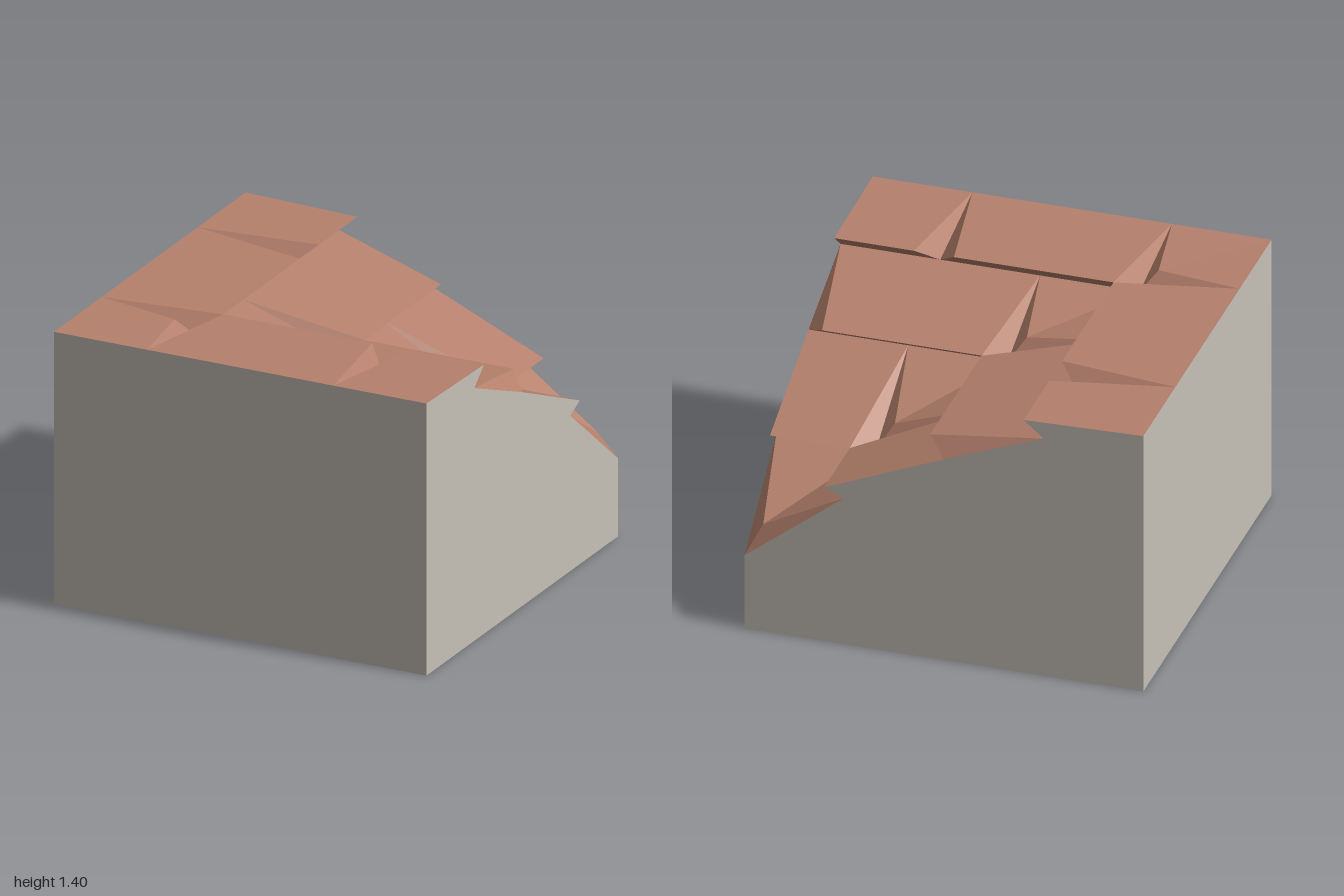
import * as THREE from 'three';

// Points are [x, u, y] with u = -z; the block is symmetric when x and u swap.
const TOP = 1.4;
const tiers = [
  { ua: -1.0, ya: 1.4, ye: 1.385, yn: 1.3 },
  { ua: -0.5, ya: 1.3, ye: 1.166, yn: 1.1 },
  { ua: 0.0, ya: 1.1, ye: 0.842, yn: 0.8 },
  { ua: 0.5, ya: 0.8, ye: 0.443, yn: 0.4 },
];

// Fan-triangulates convex faces, optionally with the copy mirrored over the valley
function buildGeometry(faces, mirrored = true) {
  const pos = [];
  const put = (p) => pos.push(p[0], p[2], -p[1]);
  const swap = (p) => [p[1], p[0], p[2]];
  for (const f of faces) {
    for (let i = 1; i < f.length - 1; i++) {
      [f[0], f[i], f[i + 1]].forEach(put);
      if (mirrored) [f[0], f[i + 1], f[i]].map(swap).forEach(put);
    }
  }
  const g = new THREE.BufferGeometry();
  g.setAttribute('position', new THREE.Float32BufferAttribute(pos, 3));
  g.computeVertexNormals();
  return g;
}

// One course of overlapping tiles with V-shaped gaps between them
function tierFaces({ ua, ya, ye, yn }) {
  const un = ua + 0.5, ue = ua + 0.6, faces = [];
  const start = un;
  const t = 0.5 / 0.7; // where the first gap's edge meets the valley
  const d = start - 0.1 * t;
  const valley = [d, d, ya + (ye - ya) * t];

  // tile at the valley
  faces.push([[ua, ua, ya], [start, ua, ya], valley]);

  for (let c = start; c <= 1.001; c += 1) {
    const apex = [c, ua, ya], foot = [c, un, yn];
    // left side of the gap
    faces.push([apex, foot, c === start ? valley : [c - 0.1, ue, ye]]);
    if (c > 0.99) break;
    // right side of the gap
    faces.push([apex, [c + 0.1, ue, ye], foot]);
    // tile up to the next gap or the block's edge
    const r = Math.min(c + 1, 1);
    const re = Math.min(c + 0.9, 1);
    faces.push([apex, [r, ua, ya], [re, ue, ye], [c + 0.1, ue, ye]]);
    // overhanging lip
    faces.push([[c + 0.1, ue, ye], [re, ue, ye], [r, un, yn], foot]);
  }
  return faces;
}

export function createModel() {
  const model = new THREE.Group();
  model.name = 'valleyRoofBlock';
  const clay = new THREE.MeshStandardMaterial({ color: 0xb5806c });
  clay.name = 'clayTile';
  const plaster = new THREE.MeshStandardMaterial({ color: 0xc6c0b7 });
  plaster.name = 'plaster';
  const add = (name, geometry, material) => {
    const m = new THREE.Mesh(geometry, material);
    m.name = name;
    model.add(m);
  };

  // roof courses
  tiers.forEach((t, i) => add(`tileCourse${i + 1}`, buildGeometry(tierFaces(t)), clay));

  // full-height walls
  add('tallWalls', buildGeometry([
    [[-1, -1, 0], [1, -1, 0], [1, -1, TOP], [-1, -1, TOP]],
  ]), plaster);

  // stepped gable walls following the cut ends of the courses
  const outline = [
    [-1, 0], [1, 0], [1, 0.4], [0.5, 0.8], [0.6, 0.842],
    [0, 1.1], [-0.5, 1.3], [-0.4, 1.385], [-1, TOP],
  ].map(([u, y]) => new THREE.Vector2(u, y));
  const gable = THREE.ShapeUtils.triangulateShape(outline, [])
    .map((tri) => tri.map((i) => [1, outline[i].x, outline[i].y]));
  add('gableWalls', buildGeometry(gable), plaster);

  // underside
  add('base', buildGeometry([
    [[-1, -1, 0], [-1, 1, 0], [1, 1, 0], [1, -1, 0]],
  ], false), plaster);

  return model;
}
